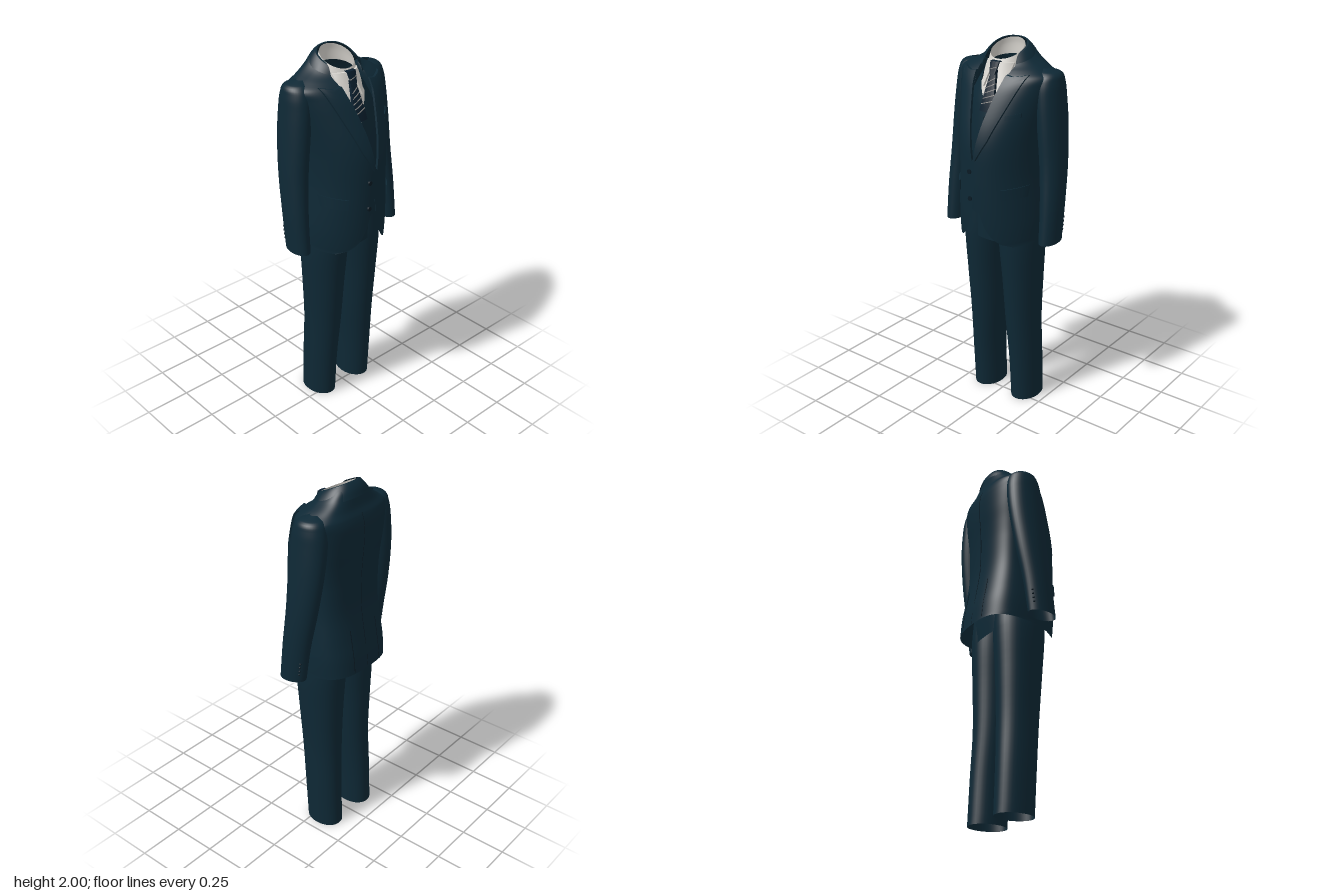
import * as THREE from 'three';
import { mergeVertices, toCreasedNormals } from 'three/addons/utils/BufferGeometryUtils.js';

const mat = (name, color) => new THREE.MeshStandardMaterial({ name, color, side: THREE.DoubleSide });
const ZC = -0.04; // depth of the torso axis

// Smooth interpolation of cross-section rows; column 0 is the height.
function at(rows, y) {
  let i = 0;
  while (i < rows.length - 2 && y > rows[i + 1][0]) i++;
  const a = rows[i], b = rows[i + 1], p = rows[i - 1] ?? a, q = rows[i + 2] ?? b;
  const h = b[0] - a[0], t = (y - a[0]) / h, t2 = t * t, t3 = t2 * t;
  return a.map((v, k) => {
    const m0 = (b[k] - p[k]) / (b[0] - p[0]) * h, m1 = (q[k] - v) / (q[0] - a[0]) * h;
    return (2 * t3 - 3 * t2 + 1) * v + (t3 - 2 * t2 + t) * m0 + (3 * t2 - 2 * t3) * b[k] + (t3 - t2) * m1;
  });
}

// Grid of points to a smooth or creased surface.
function surface(grid, crease) {
  const w = grid[0].length, index = [];
  for (let i = 0; i < grid.length - 1; i++)
    for (let j = 0; j < w - 1; j++) {
      const a = i * w + j, b = a + 1, c = a + w, d = c + 1;
      index.push(a, b, d, a, d, c);
    }
  let g = new THREE.BufferGeometry();
  g.setAttribute('position', new THREE.Float32BufferAttribute(grid.flat(2), 3));
  g.setIndex(index);
  if (crease) return toCreasedNormals(g, crease);
  g = mergeVertices(g, 1e-5);
  g.computeVertexNormals();
  return g;
}

// Loft of rows [y, half width, front z, back z, centre x, tilt].
// gap(y) leaves an opening at the front; arc limits the loft to a front panel.
function loft(rows, { zc, gap, arc, back = 2, steps = 5, segs = 48 } = {}) {
  const grid = [];
  for (let i = 0; i < rows.length - 1; i++)
    for (let s = i ? 1 : 0; s <= steps; s++) {
      const [y, rx, zf, zb, cx = 0, tilt = 0] = at(rows, THREE.MathUtils.lerp(rows[i][0], rows[i + 1][0], s / steps));
      const c = zc ?? (zf + zb) / 2;
      const a0 = arc ? -arc : gap ? Math.asin(Math.min(0.98, gap(y) / rx)) : 0;
      const a1 = arc ? arc : 2 * Math.PI - a0;
      grid.push(Array.from({ length: segs + 1 }, (_, j) => {
        const a = a0 + (a1 - a0) * j / segs, co = Math.cos(a), si = Math.sin(a);
        const n = co < 0 ? 2 / back : 1;
        const x = cx + rx * Math.sign(si) * Math.abs(si) ** n;
        const z = c + (co < 0 ? zb - c : zf - c) * Math.abs(co) ** n;
        return [x, y - tilt * (z - c), z];
      }));
    }
  return surface(grid);
}

// Depth of a torso surface at (x, y), front or back.
const frontZ = rows => (x, y) => {
  const [, rx, zf] = at(rows, y);
  return ZC + (zf - ZC) * Math.sqrt(Math.max(0, 1 - (x / rx) ** 2));
};
const backZ = rows => (x, y) => {
  const [, rx, , zb] = at(rows, y);
  return ZC + (zb - ZC) * Math.max(0, 1 - Math.abs(x / rx) ** 3) ** (1 / 3);
};

// Raised panel following a surface; each row is [x0, y0, x1, y1]. Its border folds down.
function patch(rows, zAt, lift, cols = 8, sub = 4) {
  const grid = [], total = (rows.length - 1) * sub;
  for (let i = -1; i <= total + 1; i++) {
    const u = THREE.MathUtils.clamp(i, 0, total) / sub, k = Math.min(rows.length - 2, Math.floor(u));
    const r = rows[k].map((v, n) => THREE.MathUtils.lerp(v, rows[k + 1][n], u - k));
    const line = [];
    for (let j = -1; j <= cols + 1; j++) {
      const s = THREE.MathUtils.clamp(j, 0, cols) / cols;
      const x = r[0] + (r[2] - r[0]) * s, y = r[1] + (r[3] - r[1]) * s;
      const edge = i < 0 || i > total || j < 0 || j > cols;
      line.push([x, y, zAt(x, y) + (edge ? 0 : lift)]);
    }
    grid.push(line);
  }
  return surface(grid, 0.7);
}
const mirror = (rows, s) => rows.map(([a, b, c, d]) => [a * s, b, c * s, d]);

const JACKET = [
  [1.0, .236, .22, -.24, 0, .1], [1.1, .237, .23, -.23, 0, .08], [1.2, .232, .236, -.213, 0, .03],
  [1.35, .222, .24, -.19, 0, 0], [1.5, .225, .238, -.186, 0, 0], [1.6, .235, .22, -.19, 0, 0],
  [1.7, .25, .185, -.198, 0, 0], [1.8, .265, .14, -.198, 0, 0], [1.85, .268, .105, -.187, 0, 0],
  [1.88, .22, .08, -.17, 0, .05], [1.91, .16, .062, -.158, 0, .2], [1.935, .125, .055, -.148, 0, .35],
  [1.962, .1, .05, -.126, 0, .45]];
const OPENING = [[1.0, .17], [1.02, .125], [1.06, .08], [1.12, .045], [1.2, .02], [1.3, .005], [1.38, .001],
  [1.46, .004], [1.6, .03], [1.75, .065], [1.85, .09], [1.91, .1], [1.97, .092]];
const VEST = [[1.12, .2, .155, -.13], [1.3, .2, .166, -.13], [1.5, .205, .162, -.14], [1.7, .2, .134, -.15],
  [1.8, .155, .1, -.14], [1.86, .115, .073, -.13]];
const SHIRT = [[1.64, .18, .132, -.1], [1.72, .165, .115, -.1], [1.8, .13, .088, -.1], [1.86, .11, .066, -.1],
  [1.915, .09, .048, -.1]];
const SLEEVE = [[1.01, .05, .08, -.075, .305, .08], [1.2, .055, .062, -.1, .3, .02], [1.4, .062, .045, -.135, .285, 0],
  [1.6, .066, .042, -.16, .265, 0], [1.75, .07, .036, -.163, .246, 0], [1.83, .068, .022, -.152, .238, 0],
  [1.868, .056, -.005, -.13, .232, 0], [1.885, .02, -.045, -.085, .21, 0]];
const LEG = [[0.005, .0775, .05, -.16, .1275], [.25, .081, .065, -.15, .126], [.5, .089, .085, -.141, .118],
  [.75, .1, .106, -.146, .117], [.98, .1125, .125, -.155, .1125], [1.12, .105, .125, -.15, .106]];

export function createModel() {
  const model = new THREE.Group();
  const navy = mat('navy cloth', 0x0e2835), dark = mat('dark trim', 0x091a24);
  const white = mat('shirt white', 0xd9d6d0), tieBlue = mat('tie blue', 0x0b1f2e), silver = mat('tie stripe', 0x8d8a86);
  const add = (name, geometry, material) => {
    const m = new THREE.Mesh(geometry, material);
    m.name = name;
    model.add(m);
    return m;
  };
  const opening = y => Math.max(.001, at(OPENING, y)[1]);
  const jacketZ = frontZ(JACKET), jacketBack = backZ(JACKET), vestZ = frontZ(VEST), shirtZ = frontZ(SHIRT);

  // Trousers
  add('trouserSeat', loft([[.975, .224, .126, -.156], [1.1, .215, .13, -.16], [1.25, .2, .13, -.15]], { back: 2.6 }), navy);
  for (const s of [1, -1]) add('trouserLeg', loft(LEG.map(r => r.map((v, k) => k === 4 ? v * s : v)), { back: 2.2, segs: 36 }), navy);

  // Jacket body, collar and sleeves
  add('jacketBody', loft(JACKET, { zc: ZC, gap: opening, back: 3, segs: 72 }), navy);
  add('jacketCollar', loft([[1.9, .155, .066, -.17, 0, .3], [1.935, .131, .06, -.156, 0, .36],
    [1.964, .104, .053, -.131, 0, .45], [1.966, .095, .048, -.122, 0, .45]], { zc: ZC, gap: opening, back: 2.3 }), navy);
  for (const s of [1, -1]) {
    add('sleeve', loft(SLEEVE.map(r => r.map((v, k) => k === 4 ? v * s : v)), { segs: 36 }), navy);
    for (let i = 0; i < 4; i++) {
      const b = add('cuffButton', new THREE.SphereGeometry(.006, 10, 8), dark);
      b.position.set(s * .335, 1.06 + i * .022, -.062 - i * .003);
    }
    // Peaked lapel and hip pocket flap
    add('lapel', patch(mirror([[.004, 1.45, .012, 1.445], [.018, 1.54, .07, 1.55], [.04, 1.65, .122, 1.68],
      [.066, 1.755, .165, 1.79], [.084, 1.82, .195, 1.867], [.092, 1.862, .13, 1.855]], s), jacketZ, .014), navy);
    add('pocketFlap', patch(mirror([[.135, 1.245, .21, 1.252], [.13, 1.3, .212, 1.31]], s), jacketZ, .012), navy);
    // Back vent
    add('backVent', patch(mirror([[.098, 1.03, .102, 1.03], [.098, 1.26, .102, 1.26]], s), jacketBack, -.003, 1, 10), dark);
  }
  add('backSeam', patch([[-.0015, 1.03, .0015, 1.03], [-.0015, 1.86, .0015, 1.86]], jacketBack, -.002, 1, 24), dark);
  add('breastPocket', patch([[.135, 1.655, .195, 1.67], [.133, 1.675, .193, 1.69]], jacketZ, .008), navy);

  // Waistcoat with a V neck
  const vee = [[1.12, 0], [1.6, 0], [1.69, .004], [1.78, .062], [1.86, .095]];
  add('waistcoat', loft(VEST, { zc: ZC, gap: y => Math.max(0, at(vee, y)[1]), back: 2.6 }), navy);

  // Buttons
  const button = (name, x, y, z, r) => {
    const b = add(name, new THREE.CylinderGeometry(r, r, .008, 16), dark);
    b.rotation.x = Math.PI / 2;
    b.position.set(x, y, z);
  };
  for (const y of [1.38, 1.235]) button('jacketButton', -.03, y, jacketZ(.03, y) + .003, .012);
  for (const y of [1.64, 1.55, 1.46, 1.37, 1.28, 1.19]) button('waistcoatButton', 0, y, vestZ(0, y) + .003, .008);

  // Shirt front, standing collar and collar points
  add('shirtFront', loft(SHIRT, { zc: ZC, arc: 1.25, segs: 24 }), white);
  add('shirtCollar', loft([[1.89, .102, .06, -.13, 0, .25], [1.93, .095, .055, -.128, 0, .4],
    [1.961, .087, .046, -.121, 0, .48], [1.96, .082, .041, -.116, 0, .48], [1.961 + .0005, .082, .041, -.116, 0, .48]].slice(0, 3),
    { zc: ZC }), white);
  for (const s of [1, -1])
    add('collarPoint', patch(mirror([[.05, 1.785, .056, 1.787], [.033, 1.845, .078, 1.85], [.008, 1.908, .082, 1.905]], s), shirtZ, .014), white);

  // Tie: blade, knot and diagonal stripes
  const tieWidth = y => y > 1.85 ? .017 + (y - 1.85) * .15 : .015 + (1.85 - y) * .17;
  const span = (y, d = 0) => [-tieWidth(y), y - d, tieWidth(y), y + d];
  add('tieBlade', patch([span(1.67), span(1.76), span(1.852)], shirtZ, .016), tieBlue);
  add('tieKnot', patch([span(1.85), span(1.88), span(1.912)], shirtZ, .024), tieBlue);
  for (let y = 1.715; y < 1.84; y += .026)
    add('tieStripe', patch([span(y, .012), span(y + .004, .012)], shirtZ, .018, 6, 1), silver);
  add('knotStripe', patch([span(1.878, .007), span(1.881, .007)], shirtZ, .026, 6, 1), silver);

  return model;
}
